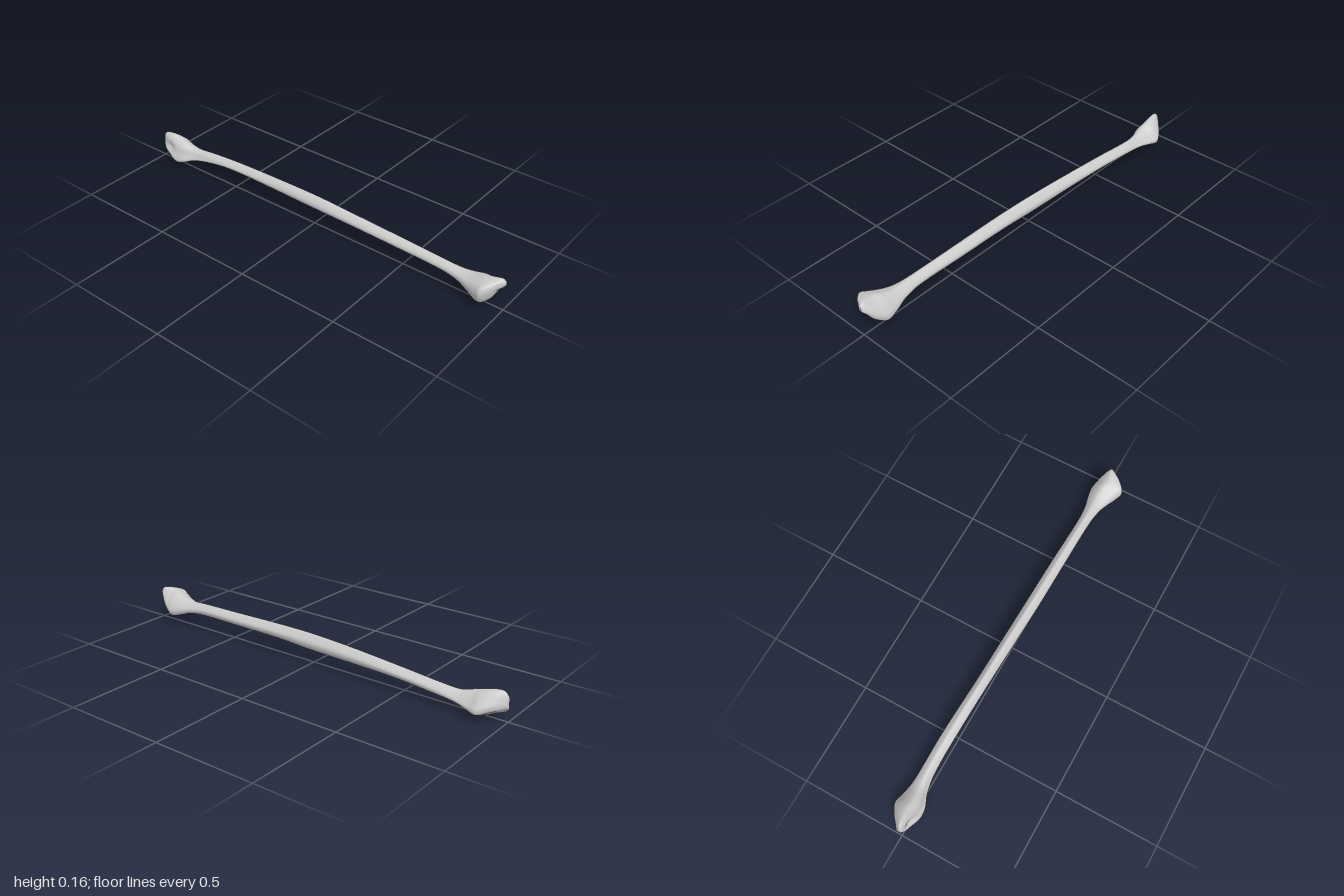
import * as THREE from 'three';

const SIDES = 56, STEPS = 8;

// Cross-section outlines, clockwise from the top as seen from +z
const HEAD = [[.15, 1], [.65, .5], [1, -.3], [.85, -.8], [.2, -1], [-.4, -.98], [-.8, -.55], [-1, .15], [-.85, .65], [-.4, .9]];
const SHAFT = [[0, 1], [.55, .6], [1, 0], [.85, -.6], [.35, -1], [-.15, -.5], [-.6, -.6], [-.98, -.2], [-1, .2], [-.55, .75]];
const ANKLE = [[-.15, 1], [.35, .75], [.8, .2], [1, -.15], [.95, -.45], [.2, -.75], [-.7, -1], [-1, -.7], [-.8, -.05], [-.6, .6]];

// Stations along the bone: z, xMin, xMax, yMin, yMax
const STATIONS = [
  [1, -.012, .006, .125, .152],
  [.985, -.035, .018, .10, .163],
  [.962, -.07, .032, .07, .163],
  [.93, -.098, .045, .04, .157],
  [.9, -.088, .052, .026, .15],
  [.85, -.066, .045, .042, .134],
  [.79, -.046, .03, .062, .126],
  [.7, -.035, .022, .072, .13],
  [.45, -.03, .03, .076, .137],
  [.2, -.026, .036, .077, .144],
  [0, -.018, .042, .071, .147],
  [-.25, -.008, .05, .07, .138],
  [-.5, 0, .062, .068, .122],
  [-.7, .002, .068, .05, .106],
  [-.79, -.01, .072, .036, .1],
  [-.85, -.033, .084, .014, .115],
  [-.895, -.036, .094, .002, .13],
  [-.945, -.026, .066, .025, .141],
  [-.98, -.014, .036, .04, .138],
  [-1, 0, .02, .058, .12],
];

// Closed smooth outline scaled to fill the -1..1 box
function outline(points) {
  const curve = new THREE.CatmullRomCurve3(points.map(([x, y]) => new THREE.Vector3(x, y, 0)), true);
  const ring = [];
  for (let j = 0; j < SIDES; j++) ring.push(curve.getPoint(j / SIDES));
  const box = new THREE.Box3().setFromPoints(ring);
  const c = box.getCenter(new THREE.Vector3()), s = box.getSize(new THREE.Vector3());
  return ring.map(p => [2 * (p.x - c.x) / s.x, 2 * (p.y - c.y) / s.y]);
}

// Smooth interpolation of a station column with uneven spacing
function sample(i, t, k) {
  const slope = n => {
    const a = STATIONS[Math.max(n - 1, 0)], b = STATIONS[Math.min(n + 1, STATIONS.length - 1)];
    return (b[k] - a[k]) / (b[0] - a[0]);
  };
  const a = STATIONS[i], b = STATIONS[i + 1], h = b[0] - a[0], t2 = t * t, t3 = t2 * t;
  return (2 * t3 - 3 * t2 + 1) * a[k] + (t3 - 2 * t2 + t) * h * slope(i)
    + (3 * t2 - 2 * t3) * b[k] + (t3 - t2) * h * slope(i + 1);
}

const bump = (a, b, ra, rb) => Math.exp(-((a / ra) ** 2) - (b / rb) ** 2);

function boneGeometry() {
  const head = outline(HEAD), shaft = outline(SHAFT), ankle = outline(ANKLE);
  const pos = [], index = [];
  let rows = 0;

  const addRing = (z, x0, x1, y0, y1, size = 1) => {
    const wh = THREE.MathUtils.smoothstep(z, .66, .88);
    const wa = THREE.MathUtils.smoothstep(-z, .55, .85);
    const ws = 1 - wh - wa;
    const mx = (x0 + x1) / 2, my = (y0 + y1) / 2;
    for (let j = 0; j < SIDES; j++) {
      const u = head[j][0] * wh + shaft[j][0] * ws + ankle[j][0] * wa;
      const v = head[j][1] * wh + shaft[j][1] * ws + ankle[j][1] * wa;
      let x = mx + u * size * (x1 - x0) / 2, pz = z;
      const y = my + v * size * (y1 - y0) / 2;
      // Shallow hollow in the front end face
      if (z > .85) pz -= .014 * bump(x + .015, y - .1, .03, .022);
      // Pit on the inner side of the back end
      if (x < mx) x += .013 * bump(z + .945, y - .072, .028, .024);
      pos.push(x, y, pz);
    }
    rows++;
  };

  addRing(...STATIONS[0], 0);
  for (let i = 0; i < STATIONS.length - 1; i++)
    for (let s = 0; s < STEPS; s++) {
      const t = s / STEPS;
      addRing(THREE.MathUtils.lerp(STATIONS[i][0], STATIONS[i + 1][0], t),
        sample(i, t, 1), sample(i, t, 2), sample(i, t, 3), sample(i, t, 4));
    }
  addRing(...STATIONS.at(-1));
  addRing(...STATIONS.at(-1), 0);

  for (let i = 0; i < rows - 1; i++)
    for (let j = 0; j < SIDES; j++) {
      const k = (j + 1) % SIDES;
      const a = i * SIDES + j, b = i * SIDES + k, c = a + SIDES, d = b + SIDES;
      index.push(a, b, c, b, d, c);
    }
  const geo = new THREE.BufferGeometry();
  geo.setAttribute('position', new THREE.Float32BufferAttribute(pos, 3));
  geo.setIndex(index);
  geo.computeVertexNormals();
  return geo;
}

export function createModel() {
  const group = new THREE.Group();
  group.name = 'legBone';
  // Shaft and both ends as one continuous surface
  const bone = new THREE.Mesh(boneGeometry(), new THREE.MeshStandardMaterial({ color: 0xcccccc }));
  bone.name = 'bone';
  group.add(bone);
  return group;
}
